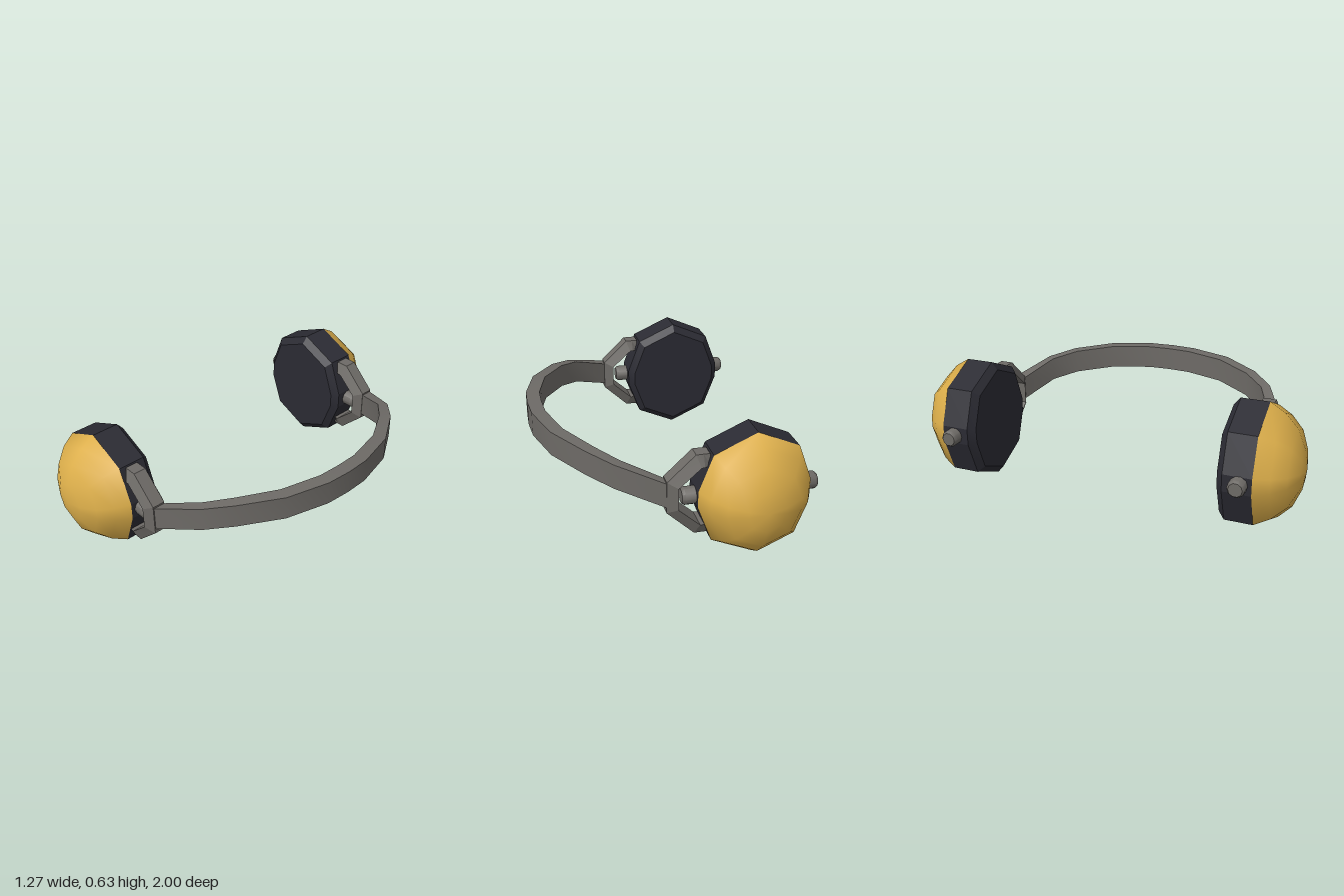
import * as THREE from 'three';
import { mergeVertices, toCreasedNormals } from 'three/addons/utils/BufferGeometryUtils.js';

const shellYellow = new THREE.MeshStandardMaterial({ color: 0xdcae4a });
shellYellow.name = 'shell yellow';
const cushionDark = new THREE.MeshStandardMaterial({ color: 0x2b2b33 });
cushionDark.name = 'cushion dark';
const frameGrey = new THREE.MeshStandardMaterial({ color: 0x6d6a66 });
frameGrey.name = 'frame grey';

// Skins a list of equal-sized rings, with end caps
function loft(rings) {
  const n = rings[0].length, last = (rings.length - 1) * n, index = [];
  for (let i = 0; i < rings.length - 1; i++) {
    for (let j = 0; j < n; j++) {
      const a = i * n + j, b = i * n + (j + 1) % n;
      index.push(a, b, b + n, a, b + n, a + n);
    }
  }
  for (let j = 1; j < n - 1; j++) {
    index.push(0, j + 1, j, last, last + j, last + j + 1);
  }
  const geo = new THREE.BufferGeometry();
  geo.setAttribute('position', new THREE.Float32BufferAttribute(rings.flat(2), 3));
  geo.setIndex(index);
  geo.computeVertexNormals();
  return geo;
}

function part(name, geo, material, parent) {
  const mesh = new THREE.Mesh(geo, material);
  mesh.name = name;
  parent.add(mesh);
  return mesh;
}

// Cup outline, counter-clockwise
const outline = [
  [0.273, -0.043], [0.273, 0.043], [0.205, 0.224], [0, 0.315], [-0.205, 0.224],
  [-0.273, 0.043], [-0.273, -0.043], [-0.205, -0.224], [0, -0.315], [0.205, -0.224],
];
const cupRings = (profile) => profile.map(([s, z]) => outline.map(([x, y]) => [x * s, y * s, z]));

function cup(name) {
  const g = new THREE.Group();
  g.name = name;
  // Cushion with a bevelled inner rim
  part('cushion', toCreasedNormals(loft(cupRings([[0.88, 0.635], [1, 0.667], [1, 0.807]])), 0.3), cushionDark, g);
  // Domed outer shell
  const dome = mergeVertices(loft(cupRings([[1, 0.807], [0.86, 0.88], [0.64, 0.945], [0.33, 0.985], [0, 1]])).deleteAttribute('normal'));
  // Leave out the hidden base so that the rim shades smoothly
  const kept = Array.from(dome.index.array).slice(0, 4 * outline.length * 6);
  dome.setIndex(kept);
  dome.computeVertexNormals();
  part('shell', dome, shellYellow, g);
  // Pivot pin through the cup
  const r = 0.044, h = 0.333;
  const profile = [[0, -h], [r - 0.01, -h], [r, -h + 0.014], [r, h - 0.014], [r - 0.01, h], [0, h]];
  const pin = toCreasedNormals(new THREE.LatheGeometry(profile.map((p) => new THREE.Vector2(...p)), 10), 0.7);
  const mesh = part('pivotPin', pin.rotateZ(Math.PI / 2), frameGrey, g);
  mesh.position.set(0.006, 0.003, 0.745);
  g.position.set(-0.313, 0.315, 0);
  return g;
}

// Forked yoke: outer x, y, half width, then inner x, y, half width
function yokeGeometry() {
  const half = [
    [0.1, 0.08, 0.033, 0.05, 0.056, 0.06],
    [-0.034, 0.206, 0.033, -0.055, 0.15, 0.06],
    [-0.07, 0.206, 0.033, -0.07, 0.15, 0.06],
    [-0.1, 0.206, 0.033, -0.1, 0.15, 0.042],
  ];
  const mirrored = half.map(([a, b, c, d, e, f]) => [a, -b, c, d, -e, f]).reverse();
  const rings = [...mirrored, ...half].map(([ox, oy, ow, ix, iy, iw]) => [
    [ox, oy, ow], [ox, oy, -ow], [ix, iy, -iw], [ix, iy, iw],
  ]);
  return toCreasedNormals(loft(rings), 0.3);
}

// Curved band: outer x, z, inner x, z, top y
function bandGeometry() {
  const half = [
    [0.09, 0.776, 0.09, 0.716, 0.396],
    [0.32, 0.66, 0.285, 0.62, 0.467],
    [0.434, 0.548, 0.386, 0.512, 0.495],
    [0.566, 0.35, 0.503, 0.325, 0.513],
    [0.628, 0.13, 0.558, 0.12, 0.519],
  ];
  const middle = [0.635, 0, 0.563, 0, 0.52];
  const rear = half.map(([a, b, c, d, e]) => [a, -b, c, -d, e]).reverse();
  const rings = [...half, middle, ...rear].map(([ox, oz, ix, iz, y]) => [
    [ox, y, oz], [ox, y - 0.125, oz], [ix, y - 0.125, iz], [ix, y, iz],
  ]);
  return toCreasedNormals(loft(rings), 0.9);
}

export function createModel() {
  const model = new THREE.Group();
  model.name = 'earDefenders';
  part('headband', bandGeometry(), frameGrey, model);
  for (const [side, sign] of [['front', 1], ['rear', -1]]) {
    // The rear pieces are the front ones turned over about x
    const c = cup(side + 'Cup');
    c.rotation.x = sign > 0 ? 0 : Math.PI;
    model.add(c);
    part(side + 'Yoke', yokeGeometry(), frameGrey, model).position.set(0, 0.328, sign * 0.743);
  }
  return model;
}
